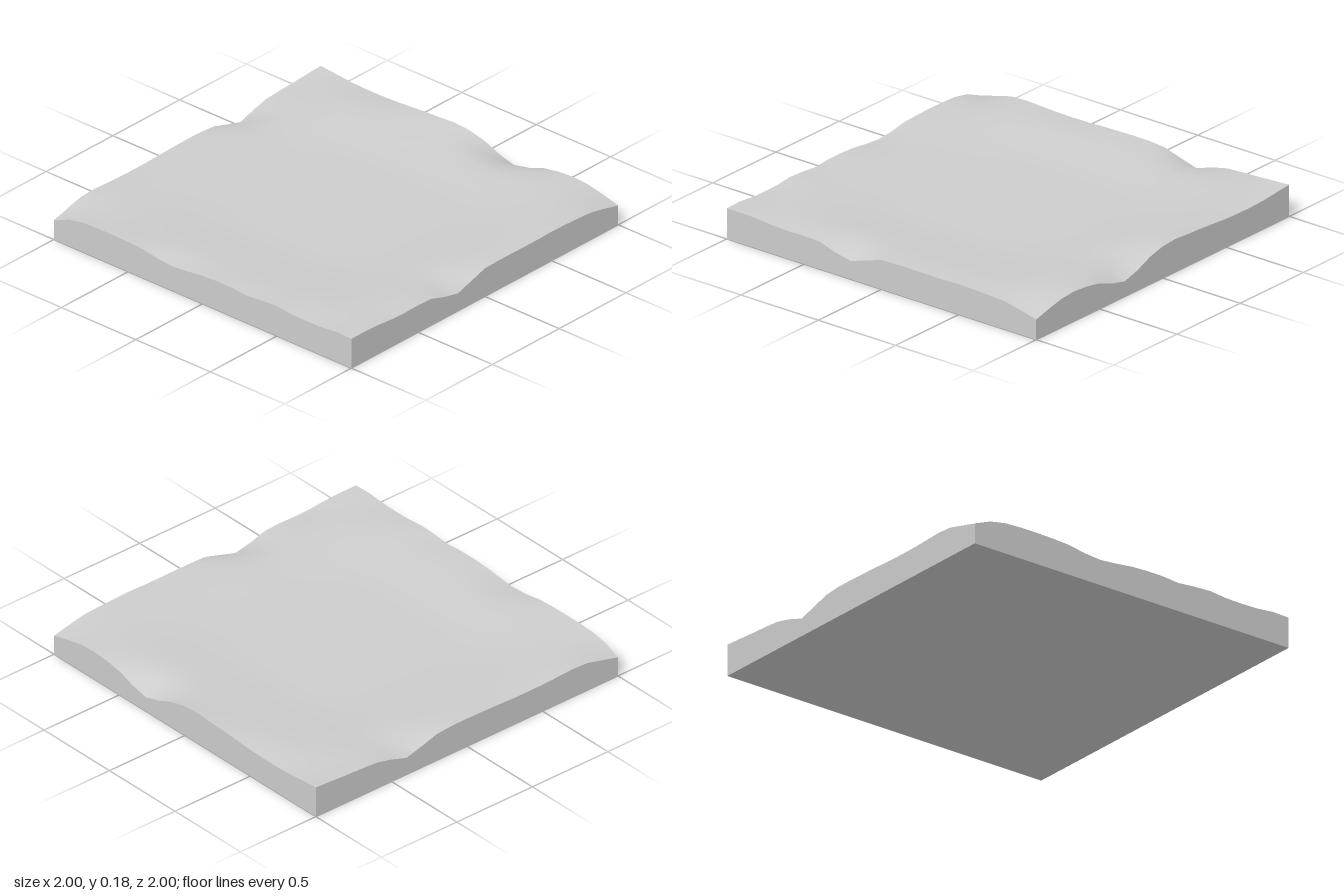
import * as THREE from 'three';

const N = 20, RIM = 0.165;

// Rim heights at evenly spaced points along each side, in hundredths
const front = [11, 15, 16.8, 17.2, 17.2, 17, 16.5, 14.8, 14, 14.8, 16, 16.5, 16.4, 15.6, 16.5, 17, 16, 15.8, 16, 17, 16.7];  // x -1 to 1
const back = [17.3, 16.5, 15.6, 15.2, 15.2, 15.5, 16.2, 16.9, 17.3, 18, 17.3, 15, 11, 8.3, 10.5, 14, 15.6, 16.3, 15.6, 13.5, 11]; // x -1 to 1
const left = [11, 13.3, 15.3, 15.9, 16.3, 16.5, 16.2, 16.2, 16.3, 16.3, 16, 13, 10, 12, 15, 15.4, 15.2, 15.5, 16.4, 16.8, 16.7]; // z -1 to 1
const right = [17.3, 16.8, 16.2, 15.8, 15.2, 13, 9.8, 12.5, 15.5, 16.3, 16.4, 16.2, 16, 15.6, 15.5, 15.6, 16, 16.5, 16, 13.5, 11]; // z -1 to 1

const at = (row, t) => row[Math.round((t + 1) * N / 2)] / 100 - RIM;
const fade = d => Math.exp(-12 * d);

// Shallow dish, with the rim's bumps and dips fading quickly inward
function height(x, z) {
  const m = Math.pow(x ** 4 + z ** 4, 0.25);
  let h = 0.133 + (RIM - 0.133) * THREE.MathUtils.smoothstep(m, 0.45, 0.95);
  const fx = [fade(1 + x), fade(1 - x)], fz = [fade(1 + z), fade(1 - z)];
  h += at(back, x) * fz[0] + at(front, x) * fz[1] + at(right, z) * fx[0] + at(left, z) * fx[1];
  // Corners are shared by two sides, so count them once
  h -= at(back, -1) * fx[0] * fz[0] + at(back, 1) * fx[1] * fz[0];
  h -= at(front, -1) * fx[0] * fz[1] + at(front, 1) * fx[1] * fz[1];
  return h;
}

export function createModel() {
  const group = new THREE.Group();
  group.name = 'groundTile';
  const stone = new THREE.MeshStandardMaterial({ color: 0xcccccc });
  stone.name = 'light grey';

  // Slab with a flat base and straight sides; its top follows the height rule
  const geometry = new THREE.BoxGeometry(2, 1, 2, N, 1, N);
  const p = geometry.attributes.position;
  for (let i = 0; i < p.count; i++) {
    p.setY(i, p.getY(i) > 0 ? height(p.getX(i), p.getZ(i)) : 0);
  }
  geometry.computeVertexNormals();

  const slab = new THREE.Mesh(geometry, stone);
  slab.name = 'terrainSlab';
  group.add(slab);
  return group;
}
